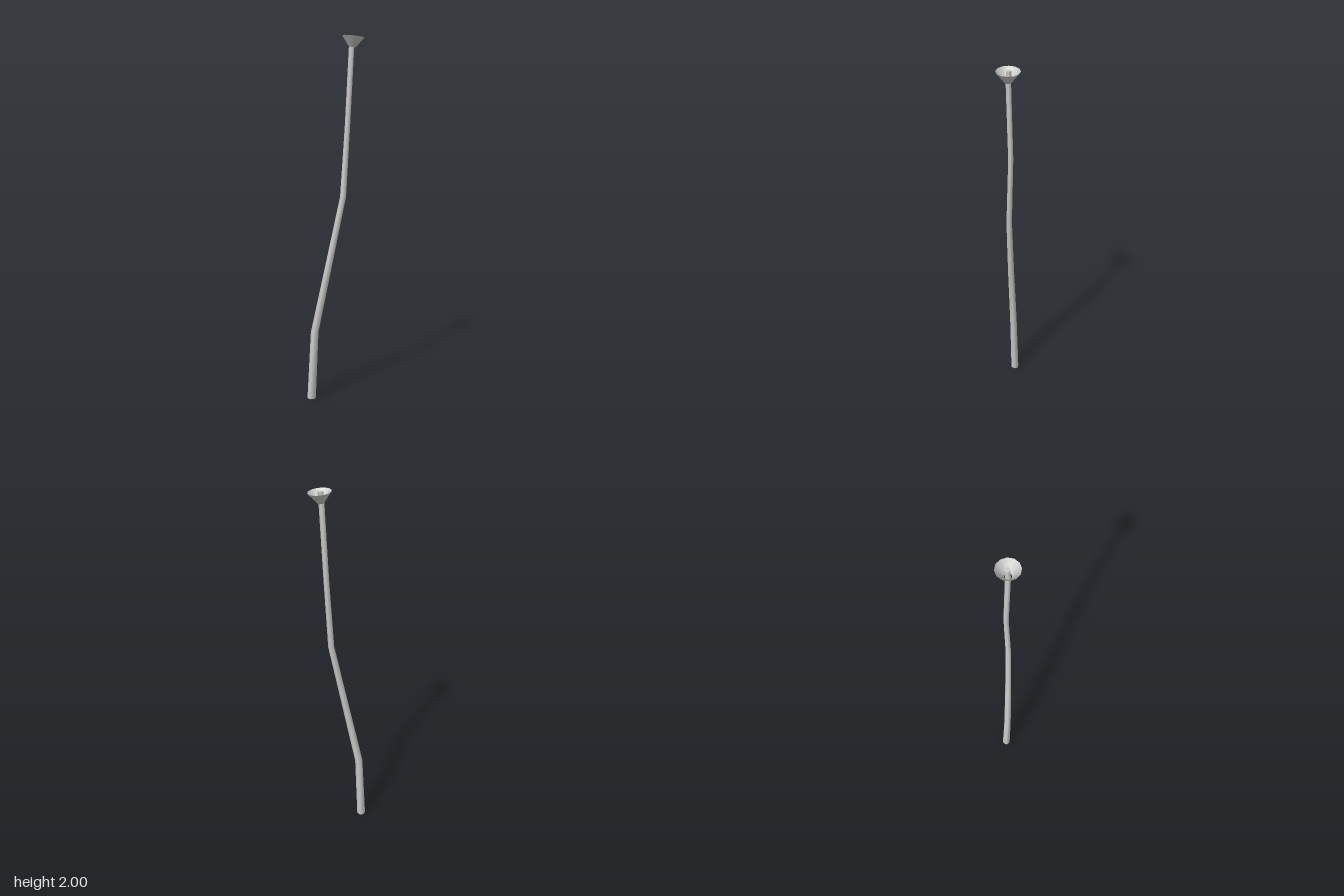
import * as THREE from 'three';

// Rings along the stem: x, y, z, radius
const RINGS = [
  [-0.132, 0, -0.031, 0.024],
  [-0.114, 0.39, -0.021, 0.0215],
  [-0.036, 0.77, -0.011, 0.019],
  [0.042, 1.15, -0.004, 0.0165],
  [0.066, 1.53, -0.013, 0.0145],
  [0.085, 1.94, -0.002, 0.0145],
  [0.09, 1.996, -0.004, 0.0145],
];
const SIDES = 6;

// Bent, tapering six-sided tube, built from its rings
function stemGeometry() {
  const pos = [], index = [];
  for (const [x, y, z, r] of RINGS) {
    for (let i = 0; i < SIDES; i++) {
      const a = (i / SIDES) * Math.PI * 2;
      pos.push(x + r * Math.cos(a), y, z + r * Math.sin(a));
    }
  }
  for (let k = 0; k < RINGS.length - 1; k++) {
    for (let i = 0; i < SIDES; i++) {
      const j = (i + 1) % SIDES;
      const a = k * SIDES + i, b = k * SIDES + j;
      index.push(a, a + SIDES, b, b, a + SIDES, b + SIDES);
    }
  }
  const g = new THREE.BufferGeometry();
  g.setAttribute('position', new THREE.Float32BufferAttribute(pos, 3));
  g.setIndex(index);
  g.computeVertexNormals();
  return g;
}

export function createModel() {
  const group = new THREE.Group();
  group.name = 'flowerStem';
  const material = new THREE.MeshStandardMaterial({ color: 0xcccccc });
  const thin = new THREE.MeshStandardMaterial({ color: 0xcccccc, side: THREE.DoubleSide });

  const stem = new THREE.Mesh(stemGeometry(), material);
  stem.name = 'stem';
  group.add(stem);

  // Flat ends of the stem
  for (const [name, ring, turn] of [['stemBase', RINGS[0], 1], ['stemTip', RINGS[RINGS.length - 1], -1]]) {
    const [x, y, z, r] = ring;
    const cap = new THREE.Mesh(new THREE.CircleGeometry(r, SIDES), material);
    cap.name = name;
    cap.rotation.x = turn * Math.PI / 2;
    cap.position.set(x, y, z);
    group.add(cap);
  }

  // Open, slightly tilted flower cup
  const height = 0.056;
  const cupGeometry = new THREE.CylinderGeometry(0.06, 0.017, height, 12, 1, true);
  cupGeometry.rotateY(Math.PI / 2);
  cupGeometry.translate(0, height / 2, 0);
  const cup = new THREE.Mesh(cupGeometry, thin);
  cup.name = 'flowerCup';
  cup.position.set(0.088, 1.938, -0.001);
  cup.rotation.z = -0.1;
  group.add(cup);

  return group;
}
